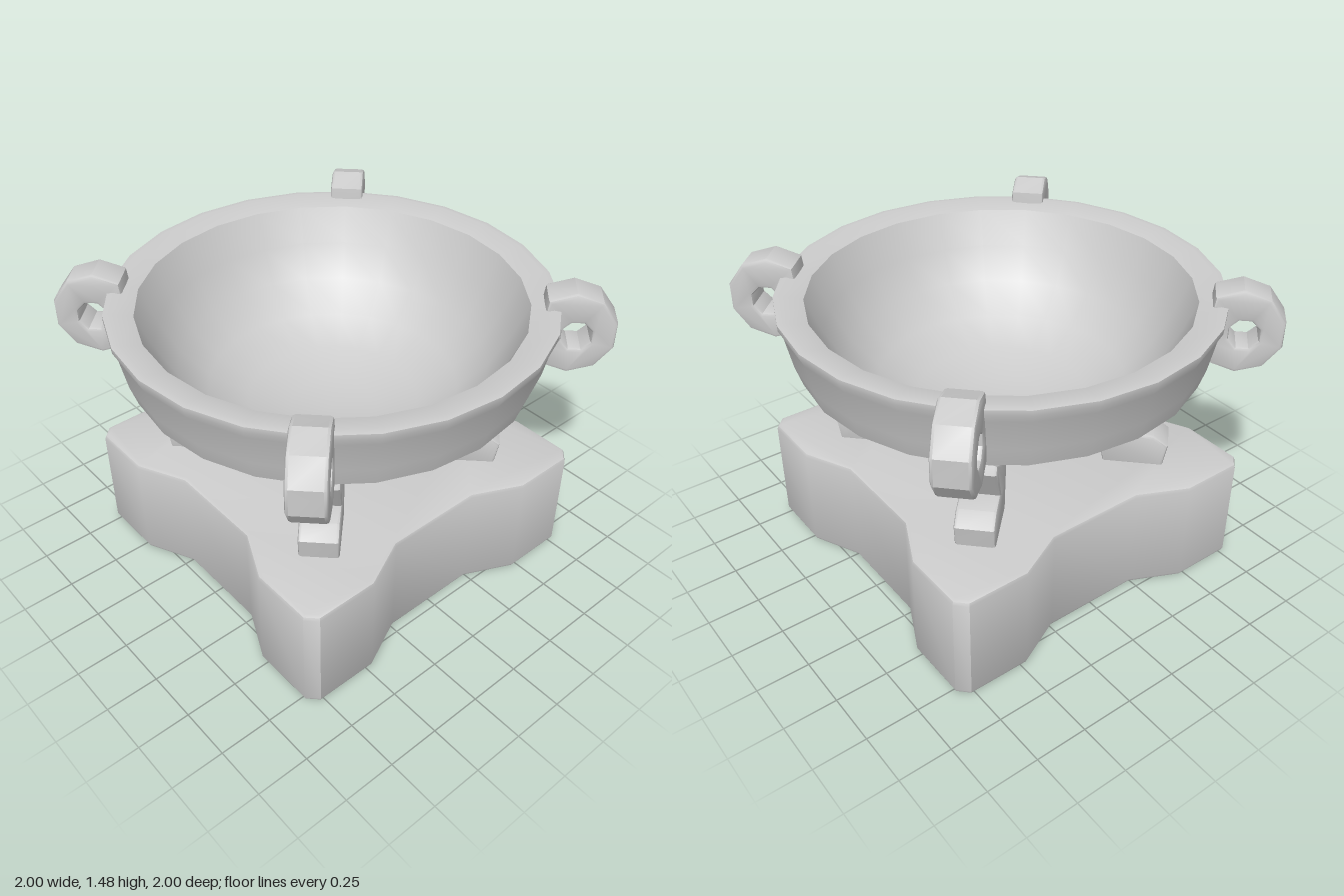
import * as THREE from 'three';
import { toCreasedNormals } from 'three/addons/utils/BufferGeometryUtils.js';

const material = new THREE.MeshStandardMaterial({ color: 0xcccccc, side: THREE.DoubleSide });

function part(name, geometry) {
  const mesh = new THREE.Mesh(toCreasedNormals(geometry, 0.6), material);
  mesh.name = name;
  return mesh;
}

// Extrudes an outline into a slab centred on its plane, with softened edges.
function slab(shape, width, bevel = 0.015) {
  return new THREE.ExtrudeGeometry(shape, {
    depth: width - 2 * bevel, bevelEnabled: true, bevelSegments: 2,
    bevelSize: bevel, bevelThickness: bevel, bevelOffset: -bevel,
  }).translate(0, 0, bevel - width / 2);
}

function ringPoints(cx, cy, radius, sides) {
  return Array.from({ length: sides }, (_, i) => {
    const a = ((i + 0.5) / sides) * Math.PI * 2;
    return new THREE.Vector2(cx + radius * Math.cos(a), cy + radius * Math.sin(a));
  });
}

const vectors = (list) => list.map(([x, y]) => new THREE.Vector2(x, y));

export function createModel() {
  const model = new THREE.Group();
  model.name = 'footedBowl';

  // Square plinth: clipped corners, each side set back in its middle
  const side = vectors([
    [0.82, -0.77], [0.82, -0.47], [0.71, -0.24], [0.71, 0.24], [0.82, 0.47], [0.82, 0.77],
  ]);
  const plan = [];
  for (let i = 0; i < 4; i++) {
    for (const p of side) plan.push(p.clone().rotateAround(new THREE.Vector2(), (i * Math.PI) / 2));
  }
  const base = part('base', slab(new THREE.Shape(plan), 0.54, 0.02).rotateX(-Math.PI / 2));
  base.position.y = 0.295;
  model.add(base);

  // Bowl: outside from the bottom up, over the broad rim, down the inside
  const profile = vectors([
    [0, 0.73], [0.22, 0.745], [0.48, 0.82], [0.64, 0.9], [0.8, 1.02], [0.92, 1.105],
    [0.95, 1.2], [0.98, 1.35], [1.0, 1.39], [1.0, 1.415], [0.97, 1.42], [0.87, 1.395],
    [0.8, 1.23], [0.71, 1.07], [0.58, 0.94], [0.4, 0.85], [0.2, 0.8], [0, 0.785],
  ]);
  model.add(part('bowl', new THREE.LatheGeometry(profile, 24)));

  // Leg with a foot that steps outward and a top that flares along the bowl
  const legShape = new THREE.Shape(vectors([
    [0.5, 0.555], [0.78, 0.555], [0.8, 0.67], [0.73, 0.72], [0.63, 0.73],
    [0.68, 0.82], [0.73, 0.91], [0.71, 0.95], [0.6, 0.88], [0.44, 0.81], [0.47, 0.7],
  ]));
  const legGeometry = slab(legShape, 0.18);

  // Thick ring handle in the radial plane, cut flat where it meets the bowl
  const outline = ringPoints(1.05, 1.3, 0.2, 10);
  for (const p of outline) p.x = Math.max(p.x, 0.92);
  const handleShape = new THREE.Shape(outline);
  handleShape.holes.push(new THREE.Path(ringPoints(1.07, 1.29, 0.07, 8).reverse()));
  const handleGeometry = slab(handleShape, 0.16);

  // One leg and one handle on each diagonal
  for (let i = 0; i < 4; i++) {
    const corner = new THREE.Group();
    corner.name = 'corner' + (i + 1);
    corner.add(part('leg', legGeometry), part('handle', handleGeometry));
    corner.rotation.y = Math.PI / 4 + (i * Math.PI) / 2;
    model.add(corner);
  }
  return model;
}
